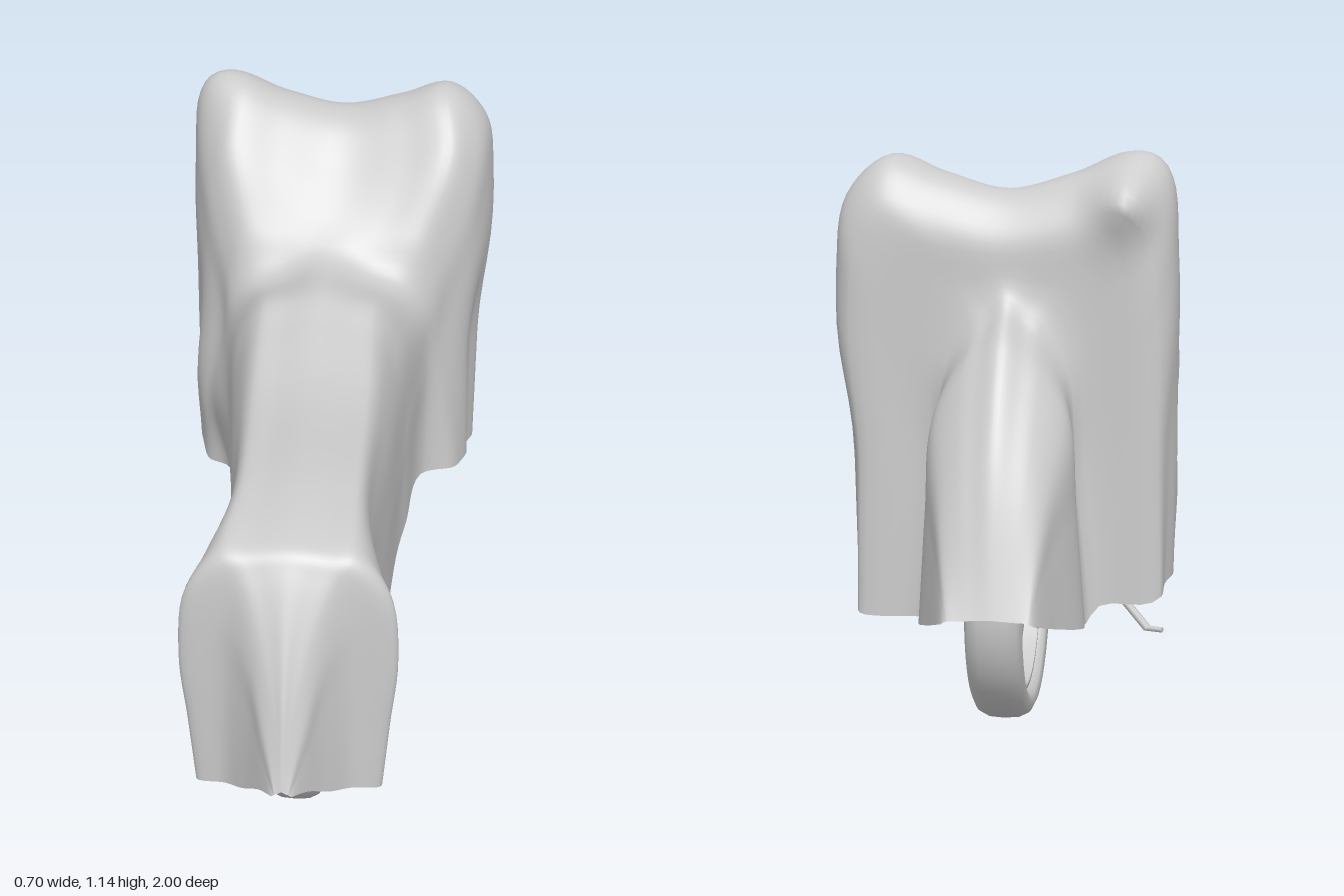
import * as THREE from 'three';

const material = new THREE.MeshStandardMaterial({ color: 0xcccccc });
const clothMaterial = new THREE.MeshStandardMaterial({ color: 0xcccccc, side: THREE.DoubleSide });
const { lerp, smoothstep } = THREE.MathUtils;
const V = (x, y, z) => new THREE.Vector3(x, y, z);
const CX = -0.013; // centre plane of the motorcycle

function add(parent, name, geometry, x = 0, y = 0, z = 0) {
  const mesh = new THREE.Mesh(geometry, material);
  mesh.name = name;
  mesh.position.set(x, y, z);
  parent.add(mesh);
  return mesh;
}

function tube(parent, name, points, radius, segments = 24) {
  const curve = new THREE.CatmullRomCurve3(points.map(p => V(...p)));
  return add(parent, name, new THREE.TubeGeometry(curve, segments, radius, 8));
}

// straight bar between two points
function bar(parent, name, a, b, radius) {
  const from = V(...a), to = V(...b);
  const mesh = add(parent, name, new THREE.CylinderGeometry(radius, radius, from.distanceTo(to), 8));
  mesh.position.copy(from).add(to).multiplyScalar(0.5);
  mesh.quaternion.setFromUnitVectors(V(0, 1, 0), to.sub(from).normalize());
  return mesh;
}

// Cover sections: z, centre x, top y, ridge x, ridge y, widest x, widest y, hem x, hem y
const seatSections = [
  [1.00, -0.02, 0.25, 0.01, 0.245, 0.015, 0.243, 0.02, 0.24],
  [0.95, -0.02, 0.42, 0.025, 0.39, 0.045, 0.30, 0.05, 0.22],
  [0.89, -0.02, 0.57, 0.055, 0.54, 0.08, 0.38, 0.09, 0.18],
  [0.845, -0.02, 0.66, 0.095, 0.64, 0.13, 0.42, 0.13, 0.16],
  [0.82, -0.02, 0.695, 0.135, 0.68, 0.22, 0.45, 0.19, 0.15],
  [0.77, -0.02, 0.712, 0.135, 0.70, 0.20, 0.45, 0.175, 0.155],
  [0.60, -0.013, 0.737, 0.125, 0.72, 0.152, 0.45, 0.15, 0.165],
  [0.20, -0.02, 0.74, 0.13, 0.72, 0.175, 0.45, 0.17, 0.195],
  [0.00, -0.025, 0.785, 0.13, 0.755, 0.19, 0.45, 0.185, 0.22],
  [-0.10, -0.025, 0.81, 0.13, 0.78, 0.20, 0.50, 0.20, 0.24],
];
const frontSections = [
  [-0.27, -0.02, 0.81, 0.17, 0.75, 0.225, 0.55, 0.22, 0.27],
  [-0.33, -0.01, 0.85, 0.20, 0.85, 0.25, 0.60, 0.29, 0.26],
  [-0.42, 0, 0.95, 0.25, 1.02, 0.31, 0.78, 0.32, 0.25],
  [-0.52, 0, 1.05, 0.235, 1.12, 0.34, 0.90, 0.33, 0.23],
  [-0.61, 0, 1.055, 0.245, 1.115, 0.345, 0.90, 0.33, 0.22],
  [-0.67, 0, 0.98, 0.24, 1.03, 0.31, 0.80, 0.32, 0.20],
  [-0.69, -0.01, 0.86, 0.075, 0.81, 0.14, 0.50, 0.17, 0.20],
  [-0.78, -0.01, 0.77, 0.08, 0.71, 0.15, 0.45, 0.165, 0.21],
  [-0.90, -0.01, 0.575, 0.07, 0.53, 0.115, 0.38, 0.125, 0.24],
  [-1.00, -0.013, 0.28, 0.05, 0.277, 0.085, 0.273, 0.09, 0.27],
];

// arch from the right hem over the top to the left hem
function sectionCurve([z, cx, topY, ridgeX, ridgeY, wideX, wideY, hemX, hemY]) {
  const half = [
    [ridgeX * 0.55, lerp(topY, ridgeY, 0.5)],
    [ridgeX, ridgeY],
    [lerp(ridgeX, wideX, 0.8), lerp(ridgeY, wideY, 0.35)],
    [wideX, wideY],
    [lerp(wideX, hemX, 0.5), lerp(wideY, hemY, 0.5)],
    [hemX, hemY],
  ];
  return new THREE.CatmullRomCurve3([
    ...half.slice().reverse().map(([x, y]) => V(cx - x, y, z)),
    V(cx, topY, z),
    ...half.map(([x, y]) => V(cx + x, y, z)),
  ]);
}

// bell-shaped falloff around a point
const bump = (p, x, y, z, r) => Math.exp(-((p.x - x) ** 2 + (p.y - y) ** 2 + (p.z - z) ** 2) / (r * r));

// uneven drape of the front skirt: folds, pulled corners and a raised right hem
function drape(p) {
  const hang = smoothstep(0.8 - p.y, 0, 0.3);
  const skirt = smoothstep(-p.z, 0.3, 0.45) * (1 - smoothstep(-p.z, 0.67, 0.7));
  const right = p.x < 0;
  p.x += 0.006 * hang * skirt * Math.sin(p.z * 42) * Math.sign(p.x);
  if (right) p.y += 0.05 * skirt * smoothstep(0.5 - p.y, 0, 0.3);
  else p.x -= 0.025 * skirt * hang * smoothstep(p.x, 0.15, 0.3);
  p.x -= 0.02 * bump(p, -0.3, 1.09, -0.57, 0.07);
  p.y += 0.03 * bump(p, -0.3, 1.09, -0.57, 0.07);
  p.x -= 0.04 * bump(p, -0.25, 0.45, -0.3, 0.13);
  p.z -= 0.05 * bump(p, -0.25, 1.05, -0.66, 0.06);
  return p;
}

function coverGeometry() {
  const across = 72, along = 114;
  const curves = [...seatSections, ...frontSections].map(sectionCurve);
  const positions = [], index = [];
  const columns = [];
  for (let j = 0; j <= across; j++) {
    columns.push(new THREE.CatmullRomCurve3(curves.map(c => c.getPoint(j / across))));
  }
  for (let i = 0; i <= along; i++) {
    for (let j = 0; j <= across; j++) {
      positions.push(...drape(columns[j].getPoint(i / along)).toArray());
      if (i < along && j < across) {
        const a = i * (across + 1) + j, c = a + across + 1;
        index.push(a, a + 1, c, a + 1, c + 1, c);
      }
    }
  }
  const geometry = new THREE.BufferGeometry();
  geometry.setAttribute('position', new THREE.Float32BufferAttribute(positions, 3));
  geometry.setIndex(index);
  geometry.computeVertexNormals();
  return geometry;
}

function wheel(name, z) {
  const group = new THREE.Group();
  group.name = name;
  group.position.set(CX, 0.27, z);
  // tyre and rim are turned about the axle
  const tyre = [[0.208, -0.035], [0.222, -0.052], [0.24, -0.057], [0.258, -0.048], [0.268, -0.028], [0.27, 0],
    [0.268, 0.028], [0.258, 0.048], [0.24, 0.057], [0.222, 0.052], [0.208, 0.035], [0.208, -0.035]];
  const rim = [[0.2, -0.04], [0.212, -0.04], [0.212, 0.04], [0.2, 0.04], [0.194, 0], [0.2, -0.04]];
  for (const [part, profile] of [['tyre', tyre], ['rim', rim]]) {
    const g = new THREE.LatheGeometry(profile.map(([r, h]) => new THREE.Vector2(r, h)), 56);
    add(group, part, g.rotateZ(Math.PI / 2));
  }
  add(group, 'hub', new THREE.CylinderGeometry(0.035, 0.035, 0.08, 20).rotateZ(Math.PI / 2));
  add(group, 'axle', new THREE.CylinderGeometry(0.012, 0.012, 0.16, 12).rotateZ(Math.PI / 2));
  for (const side of [-1, 1]) {
    add(group, 'brakeDisc', new THREE.TorusGeometry(0.075, 0.014, 4, 32).scale(1, 1, 0.3).rotateY(Math.PI / 2), side * 0.06);
    for (let i = 0; i < 18; i++) {
      const a = (i + side * 0.25) / 18 * Math.PI * 2, b = a + (i % 2 ? 0.3 : -0.3);
      bar(group, 'spoke', [side * 0.035, Math.sin(a) * 0.033, Math.cos(a) * 0.033],
        [side * 0.008, Math.sin(b) * 0.2, Math.cos(b) * 0.2], 0.002);
    }
    for (let i = 0; i < 5; i++) {
      const a = i / 5 * Math.PI * 2;
      bar(group, 'discArm', [side * 0.04, 0, 0], [side * 0.06, Math.sin(a) * 0.07, Math.cos(a) * 0.07], 0.005);
    }
  }
  return group;
}

export function createModel() {
  const model = new THREE.Group();
  model.name = 'coveredMotorcycle';

  const cover = add(model, 'cover', coverGeometry());
  cover.material = clothMaterial;

  model.add(wheel('rearWheel', 0.58), wheel('frontWheel', -0.67));

  // frame, swing arm and fork
  for (const side of [-1, 1]) {
    const x = CX + side * 0.07;
    tube(model, 'cradleTube', [[x, 0.42, 0.22], [x, 0.24, 0.205], [x, 0.207, 0.17], [x, 0.195, -0.05], [x, 0.185, -0.2],
      [x, 0.21, -0.27], [x, 0.29, -0.305], [CX + side * 0.03, 0.65, -0.4]], 0.01, 40);
    bar(model, 'swingArm', [x, 0.3, 0.18], [x, 0.27, 0.58], 0.015);
    bar(model, 'forkLeg', [x, 0.27, -0.67], [x, 0.8, -0.5], 0.016);
  }
  bar(model, 'crossTube', [CX - 0.07, 0.205, 0.17], [CX + 0.07, 0.205, 0.17], 0.01);

  // engine with a bevelled sump
  const sump = new THREE.Shape([[0.1, 0.25], [0.06, 0.225], [-0.17, 0.22], [-0.22, 0.25], [-0.22, 0.42], [0.1, 0.42]]
    .map(([z, y]) => new THREE.Vector2(-z, y)));
  const engine = new THREE.ExtrudeGeometry(sump, {
    depth: 0.1, bevelSize: 0.01, bevelThickness: 0.02, bevelSegments: 1,
  });
  add(model, 'engine', engine.translate(0, 0, -0.05).rotateY(Math.PI / 2), CX);

  // side stand with its foot
  bar(model, 'sideStandPivot', [-0.08, 0.2, 0.01], [-0.125, 0.14, -0.002], 0.014);
  bar(model, 'sideStandLeg', [-0.08, 0.19, 0.01], [-0.24, 0.016, -0.045], 0.009);
  bar(model, 'sideStandFoot', [-0.235, 0.016, -0.043], [-0.275, 0.017, -0.06], 0.006);
  return model;
}
